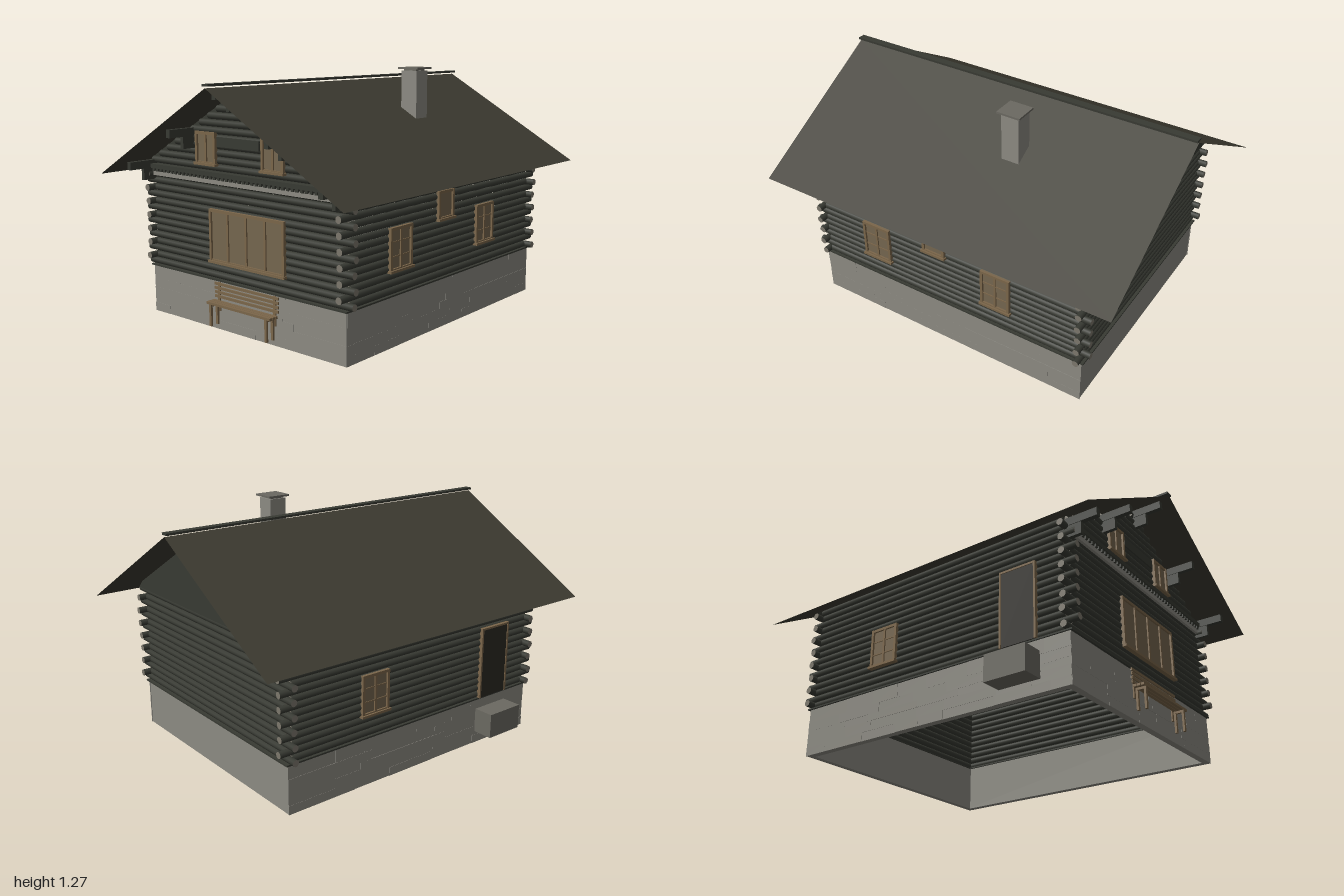
import * as THREE from 'three';

const mat = (name, color, extra = {}) => {
  const m = new THREE.MeshStandardMaterial({ color, ...extra });
  m.name = name;
  return m;
};

export function createModel() {
  const M = {
    log: mat('dark log wood', 0x383a33),
    roof: mat('roof', 0x3d3b31, { side: THREE.DoubleSide }),
    gable: mat('gable boards', 0x383a33, { side: THREE.DoubleSide }),
    stone: mat('foundation stone', 0x8c8a82),
    darkStone: mat('dark stone', 0x6b6961),
    end: mat('log end', 0x7c776c),
    wood: mat('brown wood', 0x7b664a),
    pane: mat('window pane', 0x75664f),
    door: mat('door', 0x2b2923),
  };
  const root = new THREE.Group();
  root.name = 'logHouse';

  let seed = 7;
  const rand = () => (seed = (seed * 16807) % 2147483647) / 2147483647;

  const group = (name, parent = root) => {
    const g = new THREE.Group();
    g.name = name;
    parent.add(g);
    return g;
  };
  const add = (parent, name, geo, material) => {
    const m = new THREE.Mesh(geo, material);
    m.name = name;
    parent.add(m);
    return m;
  };
  // box given by its min and max on each axis
  const box = (parent, name, material, x0, x1, y0, y1, z0, z1) => {
    const m = add(parent, name, new THREE.BoxGeometry(x1 - x0, y1 - y0, z1 - z0), material);
    m.position.set((x0 + x1) / 2, (y0 + y1) / 2, (z0 + z1) / 2);
    return m;
  };
  // four walls round an open middle
  const ring = (parent, name, material, hx, hz, y0, y1, t) => {
    for (const s of [-1, 1]) {
      const [a, b] = [s * hx, s * (hx - t)].sort((p, q) => p - q);
      const [c, d] = [s * hz, s * (hz - t)].sort((p, q) => p - q);
      box(parent, name, material, a, b, y0, y1, -hz, hz);
      box(parent, name, material, -hx + t, hx - t, y0, y1, c, d);
    }
  };

  // Foundation, open underneath, faced with shallow stones
  const foundation = group('foundation');
  ring(foundation, 'foundationWall', M.stone, 0.655, 0.795, 0, 0.25, 0.03);
  ring(foundation, 'sillPlate', M.log, 0.667, 0.81, 0.248, 0.256, 0.05);
  const courses = [0, 0.045, 0.095, 0.13, 0.178, 0.25];
  const faceStones = (rotY, half, dist) => {
    const face = group('stoneFacing', foundation);
    face.rotation.y = rotY;
    for (let i = 0; i < courses.length - 1; i++) {
      for (let x = -half; x < half - 0.001;) {
        let x1 = x + 0.12 + rand() * 0.2;
        if (x1 > half - 0.08) x1 = half;
        box(face, 'stone', M.stone, x, x1, courses[i], courses[i + 1], dist, dist + 0.003 + rand() * 0.003);
        x = x1;
      }
    }
  };
  faceStones(0, 0.658, 0.795);
  faceStones(Math.PI / 2, 0.798, 0.655);
  faceStones(-Math.PI / 2, 0.798, 0.655);

  // Log walls: long logs alternate between the walls at the corners
  const WX = 0.645, WZ = 0.783, R = 0.0172, PITCH = 0.03575, Y0 = 0.272;
  const log = (parent, axis, half, x, y, z) => {
    const geo = new THREE.CylinderGeometry(R, R, half * 2, 10);
    if (axis === 'x') geo.rotateZ(Math.PI / 2);
    else geo.rotateX(Math.PI / 2);
    add(parent, 'log', geo, [M.log, M.end, M.end]).position.set(x, y, z);
  };
  const walls = group('logWalls');
  for (let i = 0; i < 15; i++) {
    const y = Y0 + i * PITCH, odd = i % 2;
    for (const s of [-1, 1]) {
      log(walls, 'x', odd ? WX - 0.012 : 0.69 + rand() * 0.01, 0, y, s * WZ);
      log(walls, 'z', odd ? 0.832 + rand() * 0.01 : WZ - 0.012, s * WX, y, 0);
    }
  }
  for (const s of [-1, 1]) log(walls, 'z', WZ, s * WX, Y0 + 15 * PITCH, 0);

  // Roof planes, ridge cap
  const TOP = 1.205, EAVE = 0.74, HW = 0.81, SLOPE = (TOP - EAVE) / HW;
  const roof = group('roof');
  for (const s of [-1, 1]) {
    const geo = new THREE.PlaneGeometry(Math.hypot(HW, TOP - EAVE), 2).rotateX(-Math.PI / 2);
    geo.rotateZ(-s * Math.atan(SLOPE));
    add(roof, 'roofSide', geo, M.roof).position.set(s * HW / 2, (TOP + EAVE) / 2, 0);
  }
  box(roof, 'ridgeCap', M.log, -0.02, 0.02, 1.213, 1.224, -1, 1);

  // Gables: log rows in front, a flat triangle behind
  const gables = group('gables');
  for (let y = Y0 + 15 * PITCH; y < 1.175; y += PITCH) {
    log(gables, 'x', (TOP - 0.022 - y) / SLOPE, 0, y, WZ);
  }
  const tri = new THREE.Shape([[-0.7, 0.78], [0.7, 0.78], [0.66, 0.82], [0, 1.197], [-0.66, 0.82]]
    .map(([x, y]) => new THREE.Vector2(x, y)));
  add(gables, 'backGable', new THREE.ShapeGeometry(tri), M.gable).position.z = -0.8;
  add(gables, 'frontGable', new THREE.ShapeGeometry(tri), M.gable).position.z = WZ;
  box(gables, 'nameBoard', M.log, -0.145, 0.14, 0.913, 0.96, 0.79, 0.808);

  // Ledge with small blocks above the front wall
  const ledge = group('frontLedge');
  box(ledge, 'ledgeBoard', M.stone, -0.625, 0.625, 0.73, 0.757, 0.79, 0.812);
  box(ledge, 'ledgeTop', M.log, -0.63, 0.63, 0.768, 0.79, 0.79, 0.825);
  for (let i = 0; i < 44; i++) {
    const x = -0.615 + i * 0.0286;
    box(ledge, 'ledgeBlock', M.log, x - 0.008, x + 0.008, 0.752, 0.769, 0.79, 0.82);
  }

  // Purlins carrying the front overhang
  const purlins = group('purlins');
  for (const [x, y] of [[0, 1.19], [-0.33, 0.993], [0.33, 0.993], [-0.643, 0.808], [0.643, 0.808]]) {
    box(purlins, 'purlin', M.log, x - 0.013, x + 0.013, y - 0.04, y, 0.75, 0.95);
    box(purlins, 'purlinBracket', M.log, x - 0.01, x + 0.01, y - 0.1, y - 0.04, 0.75, 0.865);
  }

  // Chimney
  const chimney = group('chimney');
  box(chimney, 'chimneyStack', M.stone, 0.245, 0.342, 1.005, 1.256, -0.242, -0.145);
  box(chimney, 'chimneyCap', M.darkStone, 0.234, 0.358, 1.264, 1.274, -0.256, -0.128);
  box(chimney, 'chimneyNeck', M.darkStone, 0.255, 0.332, 1.255, 1.265, -0.232, -0.155);

  // Window: pane, frame, bars and sill, built facing +z
  const windowUnit = (name, w, h, cols, rows, x, y, z, rotY) => {
    const g = group(name);
    g.position.set(x, y, z);
    g.rotation.y = rotY;
    const a = w / 2, b = h / 2, f = 0.014;
    box(g, 'pane', M.pane, -a, a, -b, b, 0, 0.008);
    for (const s of [-1, 1]) {
      box(g, 'jamb', M.wood, s * (a - f / 2) - f / 2, s * (a - f / 2) + f / 2, -b, b, 0, 0.018);
      box(g, 'rail', M.wood, -a, a, s * (b - f / 2) - f / 2, s * (b - f / 2) + f / 2, 0, 0.017);
    }
    for (let i = 1; i < cols; i++) {
      const p = -a + (w * i) / cols;
      box(g, 'mullion', M.wood, p - 0.006, p + 0.006, -b, b, 0, 0.015);
    }
    for (let j = 1; j < rows; j++) {
      const p = -b + (h * j) / rows;
      box(g, 'glazingBar', M.wood, -a, a, p - 0.003, p + 0.003, 0, 0.012);
    }
    box(g, 'windowSill', M.wood, -a - 0.006, a + 0.006, -b - 0.004, -b + 0.008, 0, 0.026);
  };
  const Q = Math.PI / 2, FZ = WZ + 0.011, SX = WX + 0.011;
  windowUnit('frontWindow', 0.505, 0.264, 4, 1, 0.043, 0.473, FZ, 0);
  for (const s of [-1, 1]) windowUnit('gableWindow', 0.142, 0.16, 2, 1, s * 0.226, 0.9, FZ, 0);
  windowUnit('sideWindow', 0.17, 0.207, 2, 3, SX, 0.472, 0.418, Q);
  windowUnit('sideWindow', 0.167, 0.207, 2, 3, SX, 0.472, -0.313, Q);
  windowUnit('upperSideWindow', 0.134, 0.145, 1, 1, SX, 0.622, 0.051, Q);
  windowUnit('sideWindow', 0.167, 0.207, 2, 3, -SX, 0.472, -0.29, -Q);

  // Door and step on the left-hand wall
  const entry = group('entrance');
  box(entry, 'door', M.door, -0.672, -0.655, 0.256, 0.63, 0.44, 0.62);
  for (const z of [0.43, 0.62]) box(entry, 'doorPost', M.wood, -0.676, -0.655, 0.256, 0.63, z, z + 0.01);
  box(entry, 'doorHead', M.wood, -0.676, -0.655, 0.63, 0.64, 0.43, 0.63);
  box(entry, 'step', M.darkStone, -0.77, -0.65, 0.065, 0.195, 0.42, 0.64);

  // Bench
  const bench = group('bench');
  for (let i = 0; i < 3; i++) {
    const z = 0.82 + i * 0.019;
    box(bench, 'seatSlat', M.wood, -0.172, 0.26, 0.146, 0.158, z, z + 0.016);
  }
  for (let i = 0; i < 4; i++) {
    const y = 0.168 + i * 0.021;
    box(bench, 'backSlat', M.wood, -0.172, 0.26, y, y + 0.013, 0.811, 0.818);
  }
  for (const x of [-0.147, 0.231]) {
    for (const z of [0.82, 0.862]) box(bench, 'benchLeg', M.wood, x - 0.007, x + 0.007, 0.037, 0.148, z, z + 0.011);
    box(bench, 'legBrace', M.wood, x - 0.006, x + 0.006, 0.134, 0.147, 0.82, 0.873);
    box(bench, 'backPost', M.wood, x - 0.007, x + 0.007, 0.1, 0.245, 0.806, 0.813);
  }
  return root;
}
